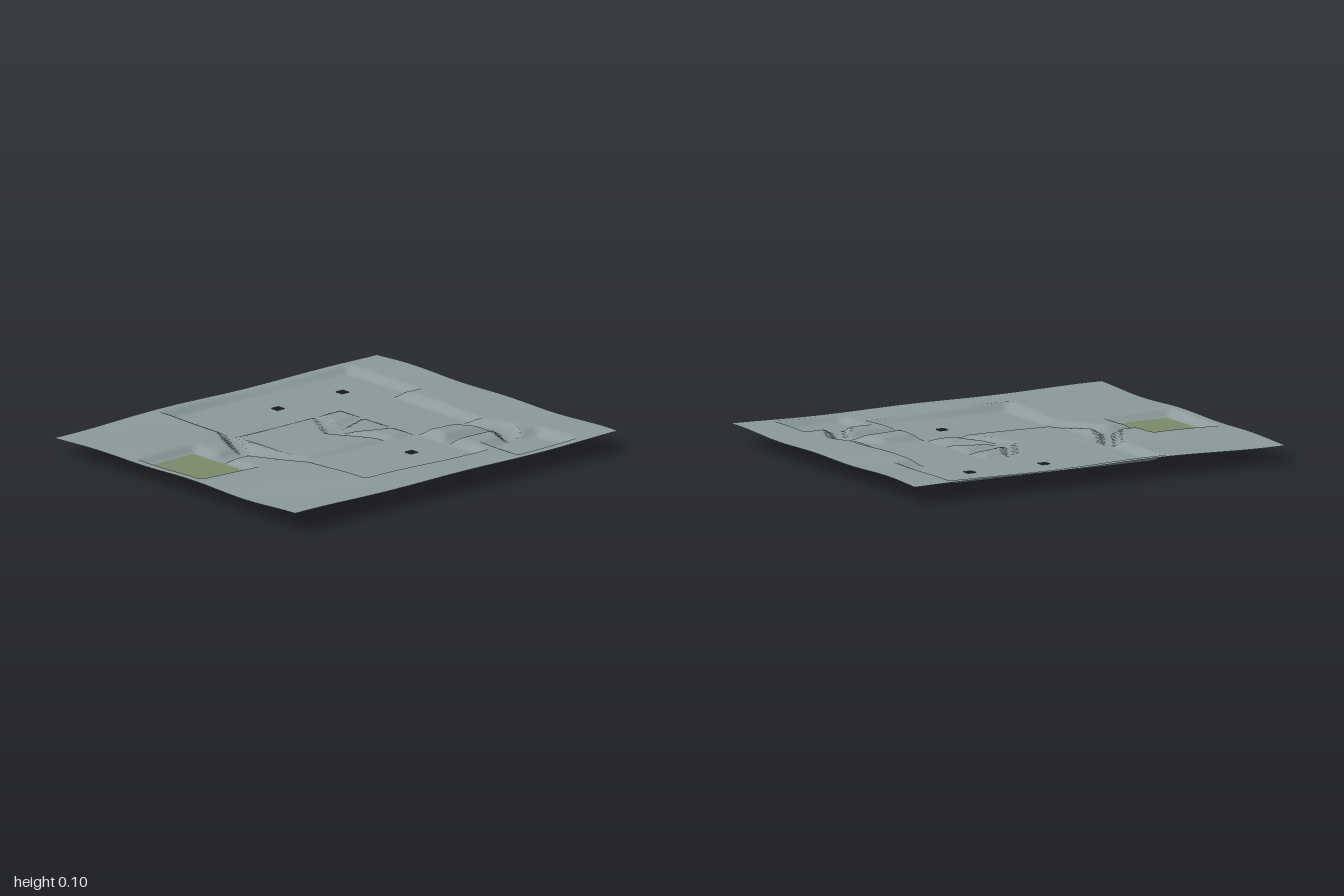
import * as THREE from 'three';

const FLOOR = 0.06, SLOPE = 0.05;

// Sunken flat rooms: x0, x1, z0, z1
const ROOMS = [
  [-0.76, -0.34, -0.74, 0.33],
  [-0.36, 0.19, -0.65, -0.33],
  [0.17, 0.59, -0.34, 0.33],
  [0.57, 0.75, -0.74, -0.47],
  [-0.27, 0.09, 0.64, 0.91],
];
const COURT = [-0.34, 0.17, -0.33, 0.33];
const LAWN = ROOMS[4];

// Channels linking the rooms: x0, z0, x1, z1, half width of the flat bottom
const CHANNELS = [
  [-0.36, 0.33, -0.09, 0.48, 0.02],
  [0.19, 0.33, -0.09, 0.48, 0.02],
  [-0.09, 0.48, -0.09, 0.66, 0.02],
  [0.19, -0.58, 0.38, -0.68, 0.02],
  [0.38, -0.68, 0.58, -0.58, 0.02],
  [0.38, -0.66, 0.38, -0.34, 0.01],
  [-0.36, -0.2, -0.09, -0.05, 0.012],
  [0.19, -0.2, -0.09, -0.05, 0.012],
  [-0.2, -0.34, -0.09, -0.05, 0.01],
  [0.03, -0.34, -0.09, -0.05, 0.01],
];

// Small square openings through the sheet
const HALF = 0.0225;
const HOLES = [[-0.56, -0.535], [-0.56, -0.135], [0.375, -0.135]];

const smooth = (t) => THREE.MathUtils.smoothstep(t, 0, 1);

function rectDistance([x0, x1, z0, z1], x, z) {
  return Math.max(x0 - x, x - x1, z0 - z, z - z1, 0);
}

function segmentDistance([x0, z0, x1, z1, w], x, z) {
  const dx = x1 - x0, dz = z1 - z0;
  const t = THREE.MathUtils.clamp(((x - x0) * dx + (z - z0) * dz) / (dx * dx + dz * dz), 0, 1);
  return Math.max(0, Math.hypot(x - x0 - t * dx, z - z0 - t * dz) - w);
}

// Rolling ground, lowered wherever a room or channel is cut into it
function height(x, z) {
  const ground = 0.089 + 0.004 * Math.sin(9 * x + 6 * z + 0.6) + 0.003 * Math.sin(5 * x - 4 * z)
    + 0.003 * x;
  let cut = 0.55 * (1 - smooth(rectDistance(COURT, x, z) / SLOPE));
  for (const r of ROOMS) cut = Math.max(cut, 1 - smooth(rectDistance(r, x, z) / SLOPE));
  for (const c of CHANNELS) cut = Math.max(cut, 1 - smooth(segmentDistance(c, x, z) / SLOPE));
  return THREE.MathUtils.lerp(ground, FLOOR, cut);
}

// Grid lines that pass through every given edge, with even steps between
function gridLines(edges, step) {
  const e = [...new Set(edges)].sort((a, b) => a - b);
  const lines = [e[0]];
  for (let i = 1; i < e.length; i++) {
    const n = Math.ceil((e[i] - e[i - 1]) / step);
    for (let k = 1; k <= n; k++) lines.push(e[i - 1] + ((e[i] - e[i - 1]) * k) / n);
  }
  return lines;
}

function terrainGeometry() {
  const xs = gridLines([-0.845, 0.845, ...ROOMS.flatMap((r) => [r[0], r[1]]),
    ...HOLES.flatMap(([x]) => [x - HALF, x + HALF])], 0.0175);
  const zs = gridLines([-1, 1, ...ROOMS.flatMap((r) => [r[2], r[3]]),
    ...HOLES.flatMap(([, z]) => [z - HALF, z + HALF])], 0.0175);
  const points = [], land = [], lawn = [];
  for (const z of zs) for (const x of xs) points.push(x, height(x, z), z);
  const nx = xs.length;
  for (let j = 0; j < zs.length - 1; j++) {
    for (let i = 0; i < nx - 1; i++) {
      const cx = (xs[i] + xs[i + 1]) / 2, cz = (zs[j] + zs[j + 1]) / 2;
      if (HOLES.some(([x, z]) => Math.abs(cx - x) < HALF && Math.abs(cz - z) < HALF)) continue;
      const a = j * nx + i, b = a + 1, c = a + nx, d = c + 1;
      const target = rectDistance(LAWN, cx, cz) === 0 ? lawn : land;
      target.push(a, c, b, b, c, d);
    }
  }
  const geometry = new THREE.BufferGeometry();
  geometry.setAttribute('position', new THREE.Float32BufferAttribute(points, 3));
  geometry.setIndex([...land, ...lawn]);
  geometry.addGroup(0, land.length, 0);
  geometry.addGroup(land.length, lawn.length, 1);
  geometry.computeVertexNormals();
  return geometry;
}

export function createModel() {
  const group = new THREE.Group();
  group.name = 'terrain';
  const stone = new THREE.MeshStandardMaterial({ color: 0x8c9a9b, side: THREE.DoubleSide });
  stone.name = 'greyGround';
  const grass = new THREE.MeshStandardMaterial({ color: 0x7b8b6c, side: THREE.DoubleSide });
  grass.name = 'mossGreen';

  // Ground sheet with sunken rooms and the green patch
  const ground = new THREE.Mesh(terrainGeometry(), [stone, grass]);
  ground.name = 'groundSheet';
  group.add(ground);

  // Flat panel lying beneath the courtyard
  const panel = new THREE.Mesh(new THREE.PlaneGeometry(0.53, 0.22).rotateX(-Math.PI / 2), stone);
  panel.name = 'lowerPanel';
  panel.position.set(-0.09, 0, -0.22);
  group.add(panel);
  return group;
}
